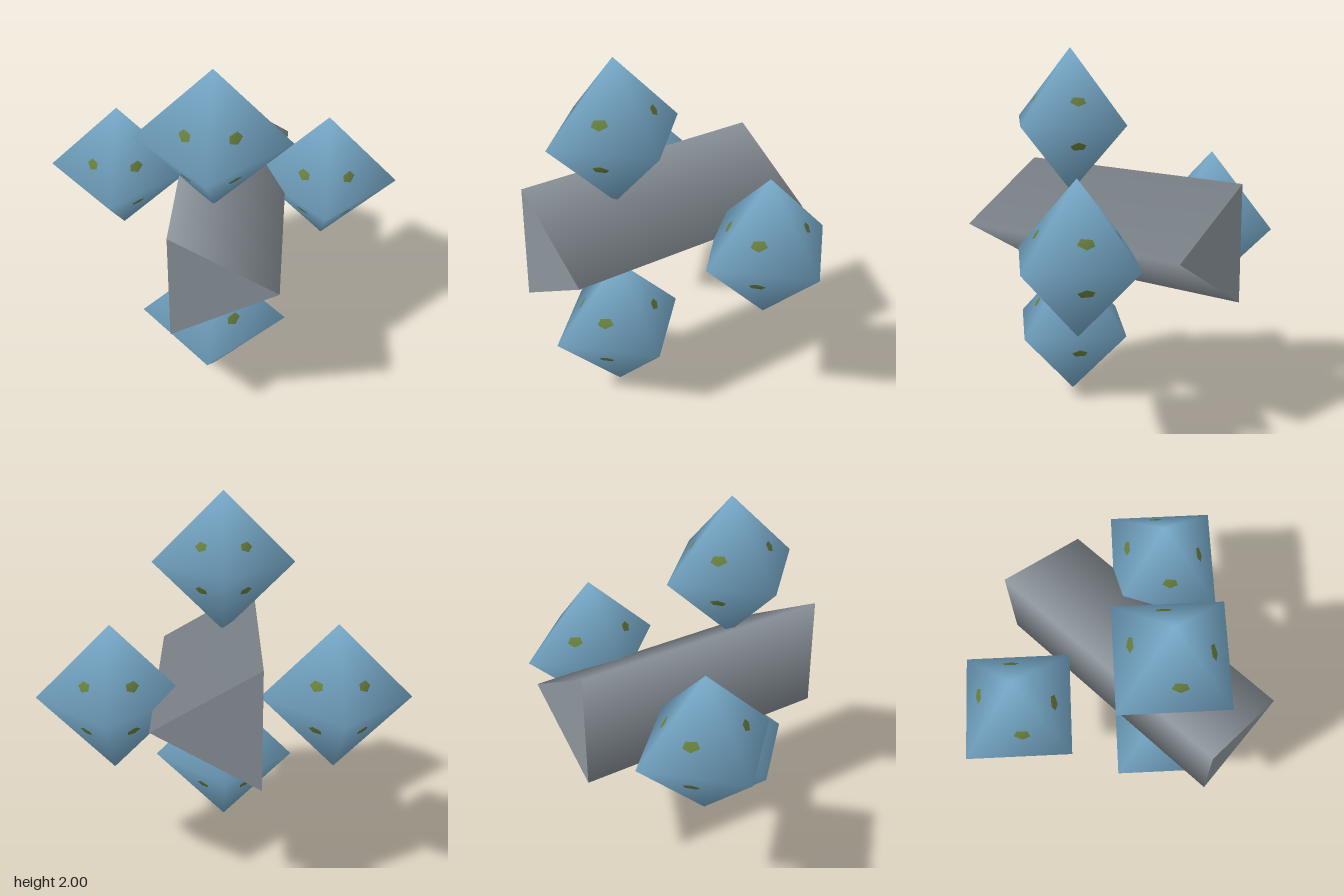
import * as THREE from 'three';

const RADIUS = 0.405;

const blue = new THREE.MeshStandardMaterial({ color: 0x78abcb });
blue.name = 'sky blue';
const grey = new THREE.MeshStandardMaterial({ color: 0x8b939a });
grey.name = 'steel grey';
const olive = new THREE.MeshStandardMaterial({ color: 0x667d3c });
olive.name = 'olive green';

// One small five-sided patch on every face of an octahedron, mirrored into all octants
function patchGeometry() {
  const outline = [[0.155, 0.118], [0.128, 0.144], [0.091, 0.139], [0.096, 0.112], [0.134, 0.096]];
  const positions = [];
  const normals = [];
  for (const sx of [1, -1]) for (const sy of [1, -1]) for (const sz of [1, -1]) {
    const corners = outline.map(([x, y]) => new THREE.Vector3(
      sx * (x + 0.0015), sy * (y + 0.0015), sz * (RADIUS - x - y + 0.0015)));
    for (let i = 1; i < corners.length - 1; i++) {
      // Mirrored octants need the opposite corner order
      const tri = sx * sy * sz > 0
        ? [corners[0], corners[i], corners[i + 1]]
        : [corners[0], corners[i + 1], corners[i]];
      for (const p of tri) {
        positions.push(p.x, p.y, p.z);
        const n = p.clone().normalize();
        normals.push(n.x, n.y, n.z);
      }
    }
  }
  const geometry = new THREE.BufferGeometry();
  geometry.setAttribute('position', new THREE.Float32BufferAttribute(positions, 3));
  geometry.setAttribute('normal', new THREE.Float32BufferAttribute(normals, 3));
  return geometry;
}

export function createModel() {
  const model = new THREE.Group();
  model.name = 'prismWithOctahedra';

  // Three-sided bar lying front to back, one ridge pointing to +x
  const barGeometry = new THREE.CylinderGeometry(0.37, 0.37, 1.48, 3, 1, false, Math.PI / 2);
  barGeometry.rotateX(Math.PI / 2);
  const bar = new THREE.Mesh(barGeometry, grey);
  bar.name = 'triangularBar';
  bar.position.y = 1;
  model.add(bar);

  // Smooth-shaded octahedra: upper and lower pair in front, side pair behind
  const bodyGeometry = new THREE.SphereGeometry(RADIUS, 4, 2);
  const spots = patchGeometry();
  const places = {
    upper: [0, 1.595, 0.28],
    lower: [0, 0.405, 0.28],
    left: [0.595, 1, -0.28],
    right: [-0.595, 1, -0.28],
  };
  for (const [side, place] of Object.entries(places)) {
    const group = new THREE.Group();
    group.name = `${side}Octahedron`;
    group.position.set(...place);
    const body = new THREE.Mesh(bodyGeometry, blue);
    body.name = `${side}Body`;
    const patches = new THREE.Mesh(spots, olive);
    patches.name = `${side}Patches`;
    group.add(body, patches);
    model.add(group);
  }
  return model;
}
